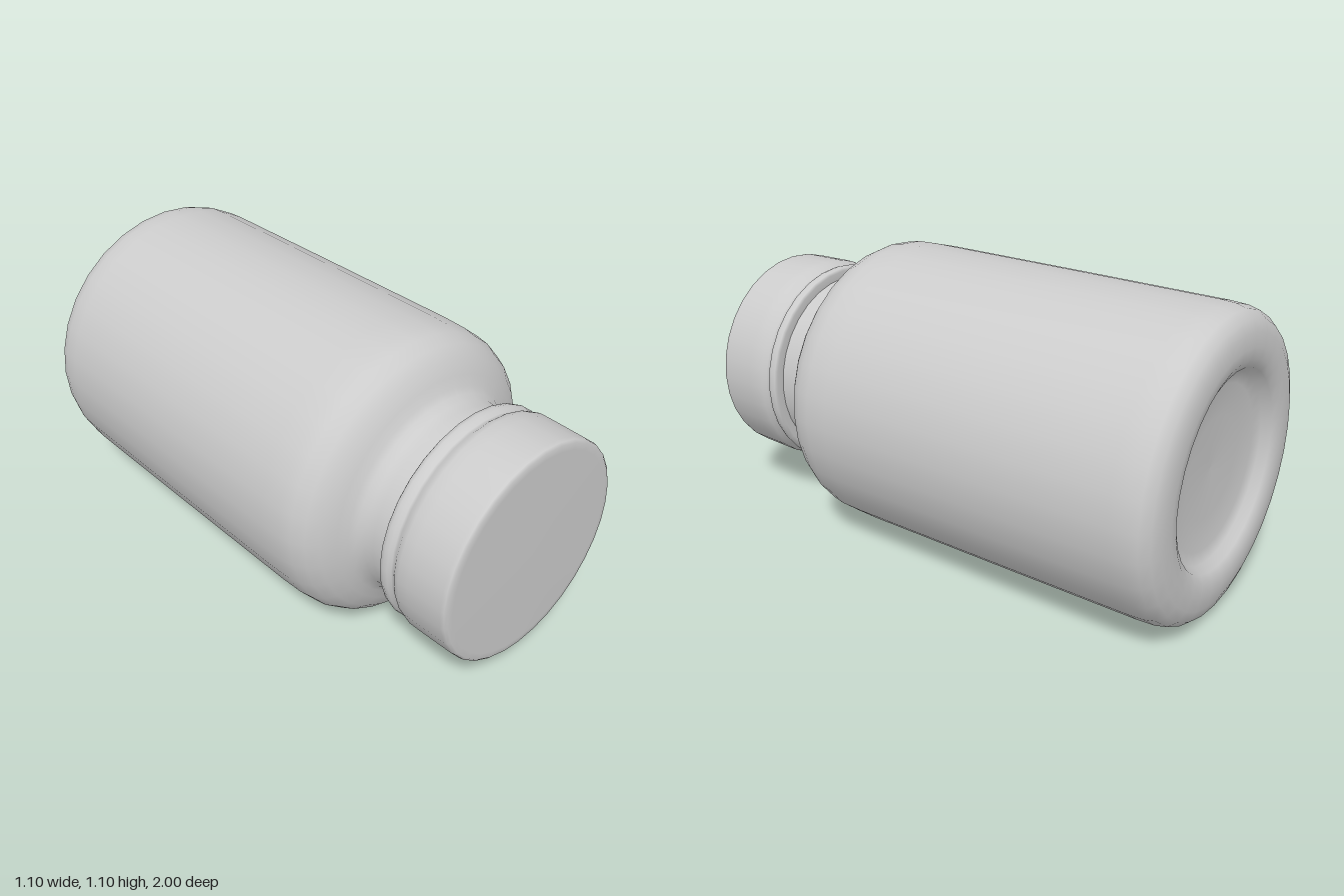
import * as THREE from 'three';

const SEGMENTS = 32;
const AXIS_HEIGHT = 0.55;

// Turn a [radius, z] profile, listed back to front, around the z axis.
function turned(name, profile, material) {
  const points = profile.map(([r, z]) => new THREE.Vector2(r, z));
  const geometry = new THREE.LatheGeometry(points, SEGMENTS);
  geometry.rotateX(Math.PI / 2);
  const mesh = new THREE.Mesh(geometry, material);
  mesh.name = name;
  mesh.position.y = AXIS_HEIGHT;
  return mesh;
}

export function createModel() {
  const group = new THREE.Group();
  group.name = 'bottle';
  const material = new THREE.MeshStandardMaterial({ color: 0xcccccc });

  // Body: dished base, rounded heel, straight wall, shoulder and neck
  group.add(turned('body', [
    [0, -0.92], [0.18, -0.925], [0.29, -0.935], [0.33, -0.95],
    [0.35, -0.98], [0.38, -0.995], [0.42, -1], [0.47, -0.995],
    [0.51, -0.98], [0.535, -0.95], [0.545, -0.91], [0.548, -0.85],
    [0.549, -0.3], [0.549, 0.3], [0.546, 0.39], [0.537, 0.44],
    [0.515, 0.485], [0.48, 0.52], [0.43, 0.547], [0.395, 0.562],
    [0.375, 0.58], [0.362, 0.605], [0.358, 0.64], [0.358, 0.72],
  ], material));

  // Cap: tamper ring, narrow groove, plain side and flat front
  group.add(turned('cap', [
    [0.35, 0.708], [0.388, 0.705], [0.398, 0.712], [0.402, 0.728],
    [0.398, 0.742], [0.388, 0.752], [0.39, 0.764], [0.402, 0.778],
    [0.408, 0.8], [0.408, 0.84], [0.405, 0.975], [0.402, 0.988],
    [0.393, 0.995], [0.37, 0.997], [0, 1],
  ], material));

  return group;
}
